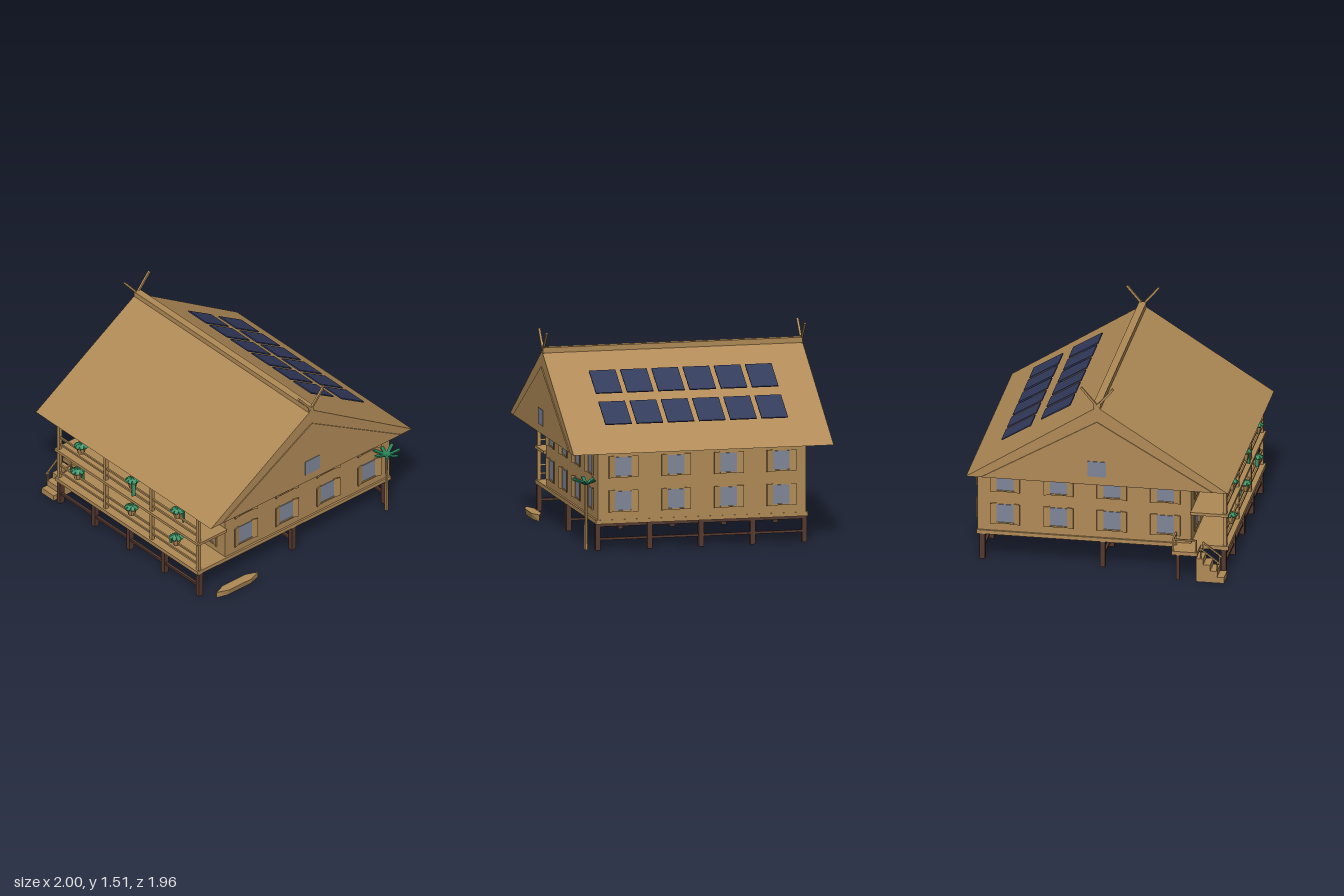
import * as THREE from 'three';

const mat = (name, color) => Object.assign(new THREE.MeshStandardMaterial({ color, flatShading: true }), { name });

export function createModel() {
  const wood = mat('tan timber', 0xb08a56), dark = mat('dark timber', 0x54382f);
  const navy = mat('navy', 0x323a5c), glass = mat('window glass', 0x7f8698);
  const green = mat('leaf green', 0x399265), palmGreen = mat('palm green', 0x26805a);
  const model = new THREE.Group();
  model.name = 'stiltHouse';

  const add = (parent, name, geometry, material, x = 0, y = 0, z = 0) => {
    const m = new THREE.Mesh(geometry, material);
    m.name = name;
    m.position.set(x, y, z);
    parent.add(m);
    return m;
  };
  const box = (parent, name, material, w, h, d, x, y, z) =>
    add(parent, name, new THREE.BoxGeometry(w, h, d), material, x, y, z);
  const group = (name, x = 0, y = 0, z = 0, ry = 0) => {
    const g = new THREE.Group();
    g.name = name;
    g.position.set(x, y, z);
    g.rotation.y = ry;
    model.add(g);
    return g;
  };
  // Profile given in (z, y), extruded along x and centred
  const prism = (name, pts, width, material) => {
    const g = new THREE.ExtrudeGeometry(new THREE.Shape(pts.map(p => new THREE.Vector2(...p))),
      { depth: width, bevelEnabled: false });
    g.translate(0, 0, -width / 2).rotateY(-Math.PI / 2);
    return add(model, name, g, material);
  };
  // Square bar between two points
  const bar = (name, material, a, b, t) => {
    const p = new THREE.Vector3(...a), q = new THREE.Vector3(...b);
    const m = add(model, name, new THREE.BoxGeometry(t, t, p.distanceTo(q)), material);
    m.position.copy(p).lerp(q, 0.5);
    m.lookAt(q);
    return m;
  };

  // Roof, gable panels and ridge
  prism('roof', [[-0.98, 0.73], [0.98, 0.73], [0, 1.352]], 1.975, wood);
  prism('gablePanels', [[-0.865, 0.735], [0.865, 0.735], [0, 1.235]], 1.99, wood);
  box(model, 'ridgeCap', wood, 1.97, 0.04, 0.055, 0, 1.36, 0);
  for (const s of [-1, 1]) {
    box(model, 'gableWindow', glass, 0.006, 0.12, 0.14, s * 0.997, 0.86, 0);
    for (const k of [-1, 1])
      bar('ridgeHorn', wood, [s * 0.98, 1.335, -k * 0.02], [s * 0.98, 1.5, k * 0.12], 0.016);
  }

  // Solar panels floating over the rear slope
  const slope = Math.atan2(0.13, 0.215);
  for (const [y, z] of [[1.165, -0.36], [0.98, -0.655]])
    for (let i = 0; i < 6; i++)
      box(model, 'solarPanel', navy, 0.2, 0.009, 0.255, (i - 2.5) * 0.237, y, z).rotation.x = -slope;

  // House body, deck and balcony
  box(model, 'walls', wood, 1.58, 0.5, 1.6, 0, 0.48, -0.13);
  box(model, 'deck', wood, 1.61, 0.03, 1.885, 0, 0.215, 0.01);
  box(model, 'balconyFloor', wood, 1.62, 0.022, 0.285, 0, 0.475, 0.81);
  box(model, 'door', navy, 0.16, 0.215, 0.022, 0.117, 0.338, 0.68);
  for (const x of [-0.785, -0.262, 0.262, 0.785])
    box(model, 'verandaPost', wood, 0.026, 0.5, 0.026, x, 0.48, 0.925);
  for (const y of [0.59, 0.53, 0.342, 0.278])
    box(model, 'verandaRail', wood, 1.57, 0.014, 0.012, 0, y, 0.925);

  // Shuttered windows: four across and two high on each wall
  for (const [x, z, ry] of [[0, 0.67, 0], [0, -0.93, Math.PI], [0.79, -0.12, Math.PI / 2], [-0.79, -0.12, -Math.PI / 2]]) {
    const wall = group('wallWindows', x, 0, z, ry);
    for (const u of [-0.6, -0.2, 0.2, 0.6])
      for (const y of [0.37, 0.625]) {
        box(wall, 'windowGlass', glass, 0.14, 0.142, 0.006, u, y, 0.003);
        box(wall, 'windowSill', wood, 0.13, 0.01, 0.014, u, y - 0.075, 0.007);
        for (const s of [-1, 1])
          box(wall, 'shutter', wood, 0.05, 0.162, 0.009, u + s * 0.088, y, 0.012).rotation.y = -s * 0.3;
      }
  }

  // Stilts and the beams between them
  for (const z of [0.915, 0.01, -0.89]) {
    for (let i = -2; i <= 2; i++) box(model, 'stilt', dark, 0.038, 0.2, 0.04, i * 0.392, 0.1, z);
    box(model, 'upperBeam', dark, 1.57, 0.024, 0.022, 0, 0.187, z);
    box(model, 'lowerBeam', dark, 1.57, 0.018, 0.02, 0, 0.084, z);
  }

  // Side landing with stairs and rails
  box(model, 'landing', wood, 0.16, 0.03, 0.19, -0.88, 0.215, 0.65);
  box(model, 'landingPost', dark, 0.025, 0.2, 0.025, -0.94, 0.1, 0.6);
  for (let i = 0; i < 4; i++)
    box(model, 'stairStep', wood, 0.135, 0.046 * (i + 1), 0.053, -0.893, 0.023 * (i + 1), 0.92 - i * 0.052);
  for (const [x, z] of [[-0.952, 0.735], [-0.952, 0.565], [-0.83, 0.565]])
    box(model, 'landingRailPost', wood, 0.013, 0.1, 0.013, x, 0.275, z);
  box(model, 'landingSideRail', wood, 0.013, 0.012, 0.18, -0.952, 0.322, 0.65);
  box(model, 'landingEndRail', wood, 0.135, 0.012, 0.013, -0.89, 0.322, 0.565);
  for (const x of [-0.952, -0.834]) {
    bar('handrail', wood, [x, 0.155, 0.91], [x, 0.265, 0.765], 0.011);
    bar('handrailPost', wood, [x, 0.06, 0.893], [x, 0.165, 0.893], 0.01);
    bar('handrailPost', wood, [x, 0.15, 0.77], [x, 0.262, 0.77], 0.01);
  }

  // Canoe
  const hull = new THREE.ExtrudeGeometry(new THREE.Shape(
    [[0, -0.2], [0.037, -0.11], [0.037, 0.11], [0, 0.2], [-0.037, 0.11], [-0.037, -0.11]]
      .map(p => new THREE.Vector2(...p))), { depth: 0.048, bevelEnabled: false });
  hull.rotateX(-Math.PI / 2);
  const hp = hull.attributes.position;
  for (let i = 0; i < hp.count; i++) // narrower keel
    if (hp.getY(i) < 0.01) hp.setX(i, hp.getX(i) * 0.7);
  hull.computeVertexNormals();
  add(model, 'canoe', hull, wood, 0.897, 0, 0.645);

  // A ring of flat leaves, tilted up (positive) or down
  const leaves = (parent, name, material, count, length, width, tilt, y) => {
    for (let i = 0; i < count; i++) {
      const g = new THREE.BoxGeometry(length, 0.01, width);
      g.translate(length / 2, 0, 0).rotateZ(tilt).rotateY(i / count * Math.PI * 2 + 0.2);
      add(parent, name, g, material, 0, y, 0);
    }
  };

  // Palm tree
  const palm = group('palmTree', 0.86, 0, -0.84);
  add(palm, 'palmTrunk', new THREE.CylinderGeometry(0.01, 0.016, 0.49, 7), wood, 0, 0.245, 0);
  leaves(palm, 'palmLeaf', palmGreen, 7, 0.11, 0.026, 0.36, 0.487);

  // Hanging flower pots
  [[-0.54, 0.6, 0], [0.04, 0.6, 0.07], [0.55, 0.6, 0.05], [-0.58, 0.35, 0.05], [0.03, 0.35, 0.06], [0.535, 0.35, 0.02]]
    .forEach(([x, y, vine], i) => {
      const plant = group('hangingPlant', x, y, 0.925, i);
      add(plant, 'pot', new THREE.CylinderGeometry(0.04, 0.026, 0.065, 8), wood, 0, 0.01, 0);
      add(plant, 'foliage', new THREE.ConeGeometry(0.03, 0.04, 7), green, 0, 0.06, 0);
      leaves(plant, 'potLeaf', green, 8, 0.06, 0.026, -0.55, 0.07);
      if (vine) box(plant, 'vine', green, 0.026, vine + 0.04, 0.012, 0, 0.02 - vine / 2, 0.045);
    });

  return model;
}
